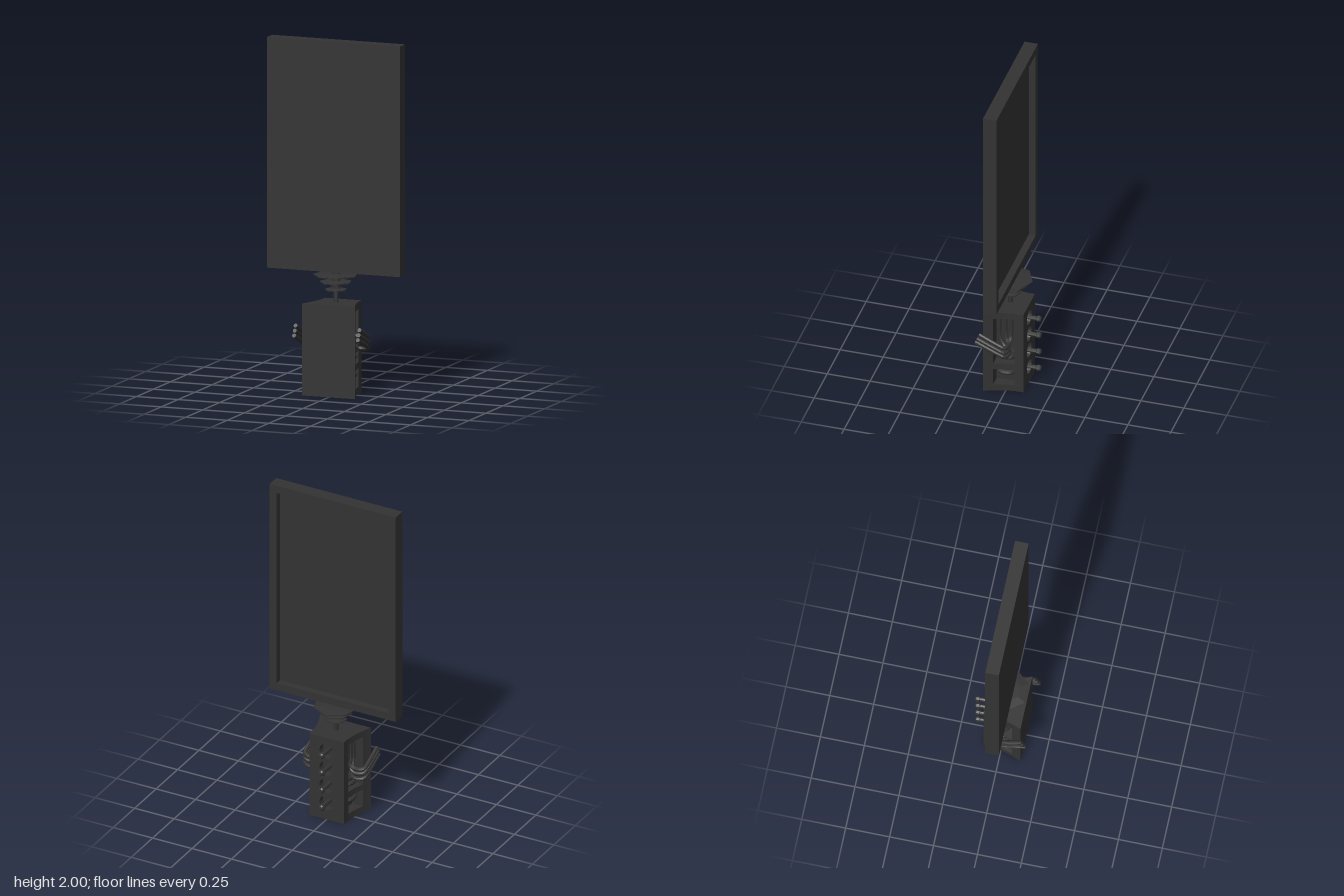
import * as THREE from 'three';

const V = (x, y, z) => new THREE.Vector3(x, y, z);

export function createModel() {
  const model = new THREE.Group();
  const dark = new THREE.MeshStandardMaterial({ color: 0x333333, flatShading: true });

  const add = (name, geometry, x = 0, y = 0, z = 0) => {
    const mesh = new THREE.Mesh(geometry, dark);
    mesh.name = name;
    mesh.position.set(x, y, z);
    model.add(mesh);
    return mesh;
  };
  const rect = (x0, y0, x1, y1, Type = THREE.Shape) =>
    new Type([[x0, y0], [x1, y0], [x1, y1], [x0, y1]].map(p => new THREE.Vector2(...p)));
  const extrude = (shape, depth) =>
    new THREE.ExtrudeGeometry(shape, { depth, bevelEnabled: false, curveSegments: 12 });

  // Upright panel with a shallow tray in its back
  const frame = rect(-0.4, 0.695, 0.4, 2);
  frame.holes.push(rect(-0.355, 0.74, 0.355, 1.955, THREE.Path));
  add('panelFrame', extrude(frame, 0.04), 0, 0, -0.03);
  add('panelFace', new THREE.BoxGeometry(0.8, 1.305, 0.038), 0, 1.3475, 0.029);

  // Stem and its seven-sided collars
  const cz = 0.009;
  add('stem', new THREE.CylinderGeometry(0.014, 0.014, 0.18, 8), 0, 0.6, cz);
  add('stemSleeve', new THREE.CylinderGeometry(0.03, 0.026, 0.11, 8), 0, 0.64, cz);
  for (const [r, y] of [[0.129, 0.675], [0.092, 0.635], [0.063, 0.592]]) {
    const profile = [[0, -0.01], [r * 0.6, -0.008], [r, -0.003], [r, 0.003], [r * 0.6, 0.008], [0, 0.01]];
    const collar = new THREE.LatheGeometry(profile.map(p => new THREE.Vector2(...p)), 7);
    add('collar', collar, 0, y, cz).rotation.y = Math.PI;
  }

  // Body in layers: flaring sides, notched where the windows are
  const sideX = z => 0.11 + 0.05 * Math.pow(Math.max(0, (z + 0.07) / 0.19), 1.6);
  const bodyLayer = (y0, y1, notched) => {
    const half = [];
    const curve = (za, zb, n) => {
      for (let i = 0; i <= n; i++) {
        const z = za + (zb - za) * i / n;
        half.push([sideX(z), z]);
      }
    };
    if (notched) {
      curve(0.12, 0.068, 4);
      half.push([0.07, 0.068], [0.07, -0.048]);
      curve(-0.048, -0.06, 1);
    } else curve(0.12, -0.06, 10);
    const outline = [...half, ...half.map(([x, z]) => [-x, z]).reverse()];
    const shape = new THREE.Shape(outline.map(([x, z]) => new THREE.Vector2(x, -z)));
    add('body', extrude(shape, y1 - y0).rotateX(-Math.PI / 2), 0, y0, 0);
  };
  const levels = [0, 0.04, 0.145, 0.18, 0.245, 0.26, 0.48, 0.52];
  for (let i = 0; i < levels.length - 1; i++) bodyLayer(levels[i], levels[i + 1], i % 2 === 1);

  // Back plate with round wells, each holding a knob
  const back = rect(-0.11, 0, 0.11, 0.52);
  const knobProfile = [[0, 0], [0.013, 0], [0.013, 0.082], [0.018, 0.086], [0.018, 0.104], [0.011, 0.112], [0, 0.112]];
  for (const y of [0.105, 0.215, 0.325, 0.435]) {
    const well = new THREE.Path();
    well.absarc(0, y, 0.045, 0, Math.PI * 2, true);
    back.holes.push(well);
    const knob = new THREE.LatheGeometry(knobProfile.map(p => new THREE.Vector2(...p)), 8);
    add('backKnob', knob.rotateX(-Math.PI / 2), 0, y, -0.06);
  }
  add('backPlate', extrude(back, 0.04), 0, 0, -0.1);

  // Bent tube closed at its far end
  const tube = (name, points, radius) => {
    const path = new THREE.CatmullRomCurve3(points, false, 'centripetal');
    add(name, new THREE.TubeGeometry(path, 32, radius, 8));
    const cap = add(name + 'End', new THREE.CircleGeometry(radius, 8));
    cap.position.copy(path.getPoint(1));
    cap.lookAt(cap.position.clone().add(path.getTangent(1)));
  };

  // Cables hang in the tall window, turn outwards and run forward and up
  const cables = [
    { z: 0.043, y: 0.265, endY: 0.343, endZ: 0.158 },
    { z: 0.01, y: 0.295, endY: 0.369, endZ: 0.147 },
    { z: -0.023, y: 0.325, endY: 0.396, endZ: 0.135 },
  ];
  for (const s of [1, -1]) {
    for (const c of cables) {
      tube('cable', [
        V(s * 0.09, 0.485, c.z), V(s * 0.09, c.y + 0.07, c.z),
        V(s * 0.1, c.y + 0.02, c.z * 0.5 - 0.01), V(s * 0.125, c.y, -0.02),
        V(s * 0.17, c.y, -0.02), V(s * 0.188, c.y + 0.005, -0.008),
        V(s * 0.192, c.y + 0.018, 0.02), V(s * 0.192, c.endY, c.endZ),
      ], 0.012);
    }
    // Grab bars in the two small windows
    for (const y of [0.115, 0.218]) {
      tube('grabBar', [
        V(s * 0.06, y, 0.052), V(s * 0.095, y, 0.048), V(s * 0.108, y, 0.03),
        V(s * 0.108, y, -0.012), V(s * 0.095, y, -0.03), V(s * 0.06, y, -0.034),
      ], 0.013);
    }
  }
  return model;
}
